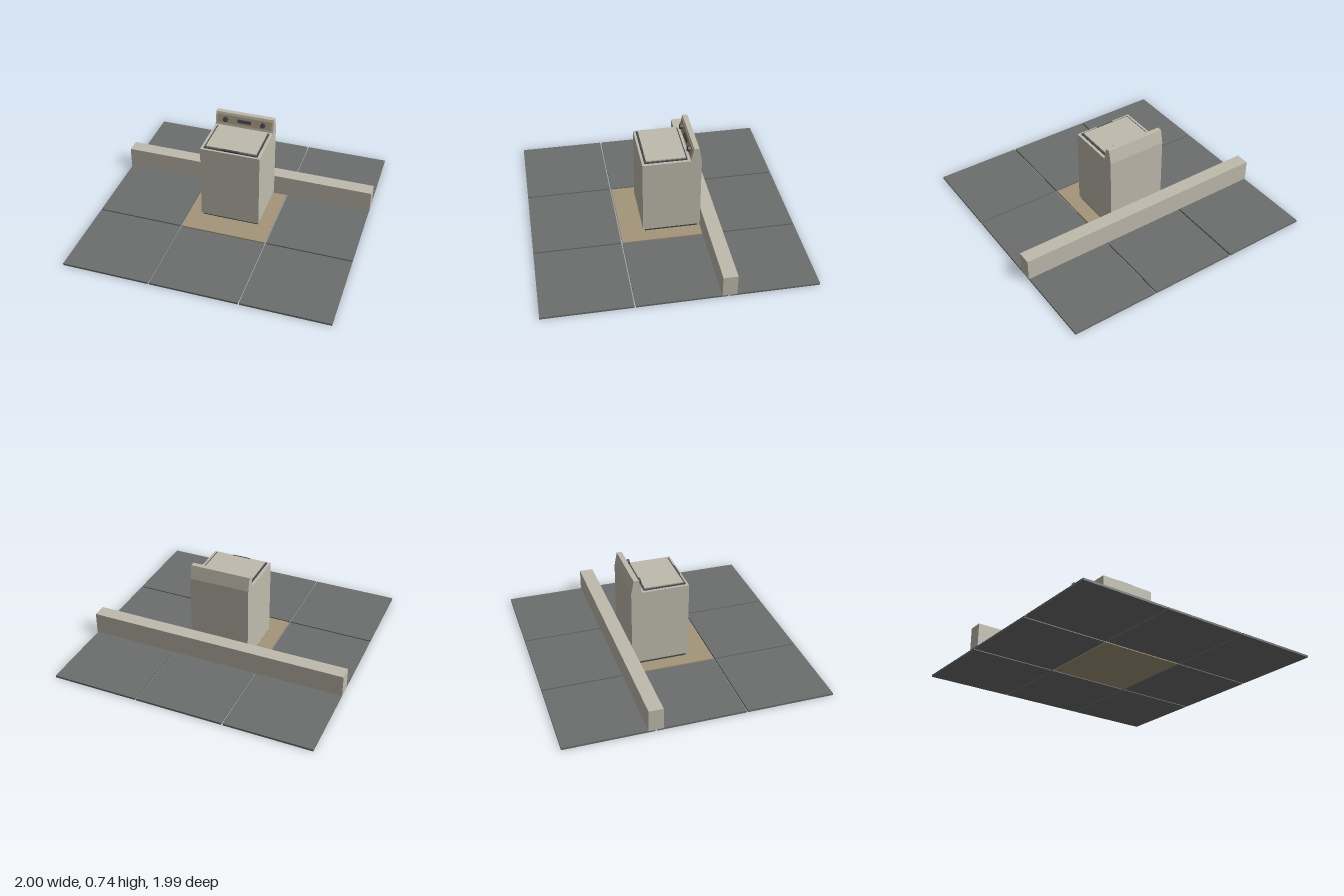
import * as THREE from 'three';

const mat = (name, color) => {
  const m = new THREE.MeshStandardMaterial({ color });
  m.name = name;
  return m;
};

export function createModel() {
  const beige = mat('warm white enamel', 0xbfbbad);
  const tan = mat('tan', 0xa5957a);
  const grey = mat('slate grey', 0x6c6e6d);
  const dark = mat('dark trim', 0x45494c);

  const model = new THREE.Group();
  model.name = 'laundryCorner';

  // Box given by its min and max on each axis
  const box = (name, m, [x0, x1], [y0, y1], [z0, z1], parent = model) => {
    const mesh = new THREE.Mesh(new THREE.BoxGeometry(x1 - x0, y1 - y0, z1 - z0), m);
    mesh.position.set((x0 + x1) / 2, (y0 + y1) / 2, (z0 + z1) / 2);
    mesh.name = name;
    parent.add(mesh);
    return mesh;
  };

  // Floor: 3 x 3 tiles with open gaps, tan in the centre
  const floor = new THREE.Group();
  floor.name = 'floor';
  model.add(floor);
  const pitch = 0.667, half = 0.328;
  for (let i = -1; i <= 1; i++) {
    for (let k = -1; k <= 1; k++) {
      const x = i * pitch, z = k * pitch;
      box('floorTile', i === 0 && k === 0 ? tan : grey,
        [x - half, x + half], [0, 0.015], [z - half, z + half], floor);
    }
  }

  // Low wall behind the washer
  box('lowWall', beige, [-1, 1], [0.015, 0.182], [-0.39, -0.283]);

  // Washer cabinet and toe kick
  const washer = new THREE.Group();
  washer.name = 'washer';
  model.add(washer);
  box('toeKick', dark, [-0.218, 0.218], [0.015, 0.036], [-0.267, 0.14], washer);
  box('cabinet', beige, [-0.228, 0.228], [0.036, 0.633], [-0.282, 0.156], washer);

  // Lid with dark seal and front handle
  box('lidSeal', dark, [-0.206, 0.206], [0.633, 0.639], [-0.181, 0.138], washer);
  box('lid', beige, [-0.193, 0.193], [0.639, 0.648], [-0.171, 0.124], washer);
  box('lidHandle', dark, [-0.068, 0.068], [0.637, 0.646], [0.124, 0.139], washer);

  // Control console: side profile (z, y) extruded across the width
  const profile = [[-0.203, 0.633], [-0.205, 0.648], [-0.224, 0.736], [-0.262, 0.736], [-0.282, 0.633]];
  const shape = new THREE.Shape(profile.map(([z, y]) => new THREE.Vector2(-z, y)));
  const consoleGeo = new THREE.ExtrudeGeometry(shape, { depth: 0.456, bevelEnabled: false });
  consoleGeo.translate(0, 0, -0.228);
  consoleGeo.rotateY(Math.PI / 2);
  const body = new THREE.Mesh(consoleGeo, beige);
  body.name = 'console';
  washer.add(body);

  // Sloping control panel with display and two knobs
  const panel = new THREE.Group();
  panel.name = 'controlPanel';
  panel.position.set(0, 0.685, -0.213);
  panel.rotation.x = -Math.atan2(0.019, 0.088);
  washer.add(panel);
  box('panelPlate', tan, [-0.214, 0.214], [-0.034, 0.034], [-0.002, 0.004], panel);
  box('display', dark, [-0.053, 0.053], [-0.013, 0.013], [0.004, 0.011], panel);
  for (const side of [-1, 1]) {
    const knob = new THREE.Mesh(new THREE.CylinderGeometry(0.019, 0.019, 0.024, 20), dark);
    knob.rotation.x = Math.PI / 2;
    knob.position.set(side * 0.147, 0, 0.014);
    knob.name = side > 0 ? 'leftKnob' : 'rightKnob';
    panel.add(knob);
  }

  return model;
}
